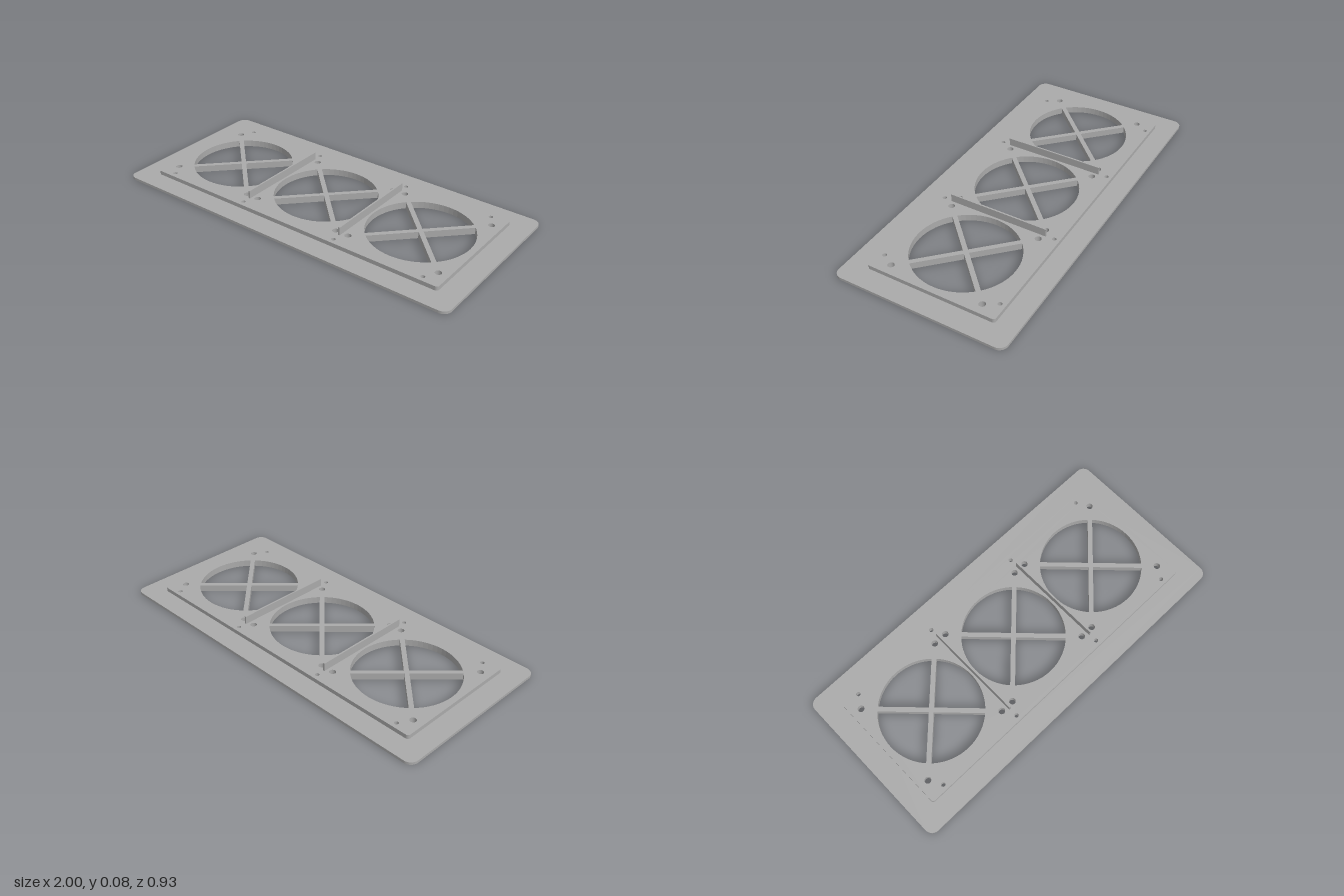
import * as THREE from 'three';

const PITCH = 0.578;      // spacing of the three openings
const FAN_RADIUS = 0.273;
const BASE_TOP = 0.014, PLATE_TOP = 0.036, FIN_TOP = 0.079;

function roundedRect(w, d, r) {
  const s = new THREE.Shape();
  const x = w / 2, y = d / 2;
  s.absarc(x - r, y - r, r, 0, Math.PI / 2);
  s.absarc(-x + r, y - r, r, Math.PI / 2, Math.PI);
  s.absarc(-x + r, -y + r, r, Math.PI, Math.PI * 1.5);
  s.absarc(x - r, -y + r, r, Math.PI * 1.5, Math.PI * 2);
  s.closePath();
  return s;
}

function addHole(shape, x, y, r) {
  shape.holes.push(new THREE.Path().absarc(x, y, r, 0, Math.PI * 2, true));
}

// Openings, fan screw holes and mounting holes shared by both layers
function punch(shape) {
  for (const i of [-1, 0, 1]) {
    addHole(shape, i * PITCH, 0, FAN_RADIUS);
    for (const sx of [-1, 1]) for (const sy of [-1, 1]) {
      addHole(shape, i * PITCH + sx * 0.252, sy * 0.252, 0.017);
    }
  }
  for (const x of [-0.79, -0.289, 0.289, 0.79]) {
    for (const sy of [-1, 1]) addHole(shape, x, sy * 0.32, 0.011);
  }
  return shape;
}

// Extrude a ground-plane outline upward from y0 to y1
function slab(shape, y0, y1) {
  const g = new THREE.ExtrudeGeometry(shape, { depth: y1 - y0, bevelEnabled: false, curveSegments: 32 });
  g.rotateX(-Math.PI / 2);
  g.translate(0, y0, 0);
  return g;
}

function crossShape(length, width) {
  const l = length / 2, w = width / 2;
  const pts = [[l, -w], [l, w], [w, w], [w, l], [-w, l], [-w, w],
    [-l, w], [-l, -w], [-w, -w], [-w, -l], [w, -l], [w, -w]];
  return new THREE.Shape(pts.map(([x, y]) => new THREE.Vector2(x, y)));
}

export function createModel() {
  const group = new THREE.Group();
  group.name = 'fanMountPanel';
  const grey = new THREE.MeshStandardMaterial({ color: 0xaaaaaa });
  grey.name = 'grey';
  const add = (name, geometry) => {
    const m = new THREE.Mesh(geometry, grey);
    m.name = name;
    group.add(m);
    return m;
  };

  // Two stacked plates
  add('basePlate', slab(punch(roundedRect(2, 0.926, 0.045)), 0, BASE_TOP));
  add('raisedPlate', slab(punch(roundedRect(1.77, 0.7, 0.015)), BASE_TOP, PLATE_TOP));

  // Diagonal braces across each opening
  const brace = slab(crossShape(FAN_RADIUS * 2 + 0.002, 0.025), 0, PLATE_TOP);
  brace.rotateY(Math.PI / 4);
  for (const i of [-1, 0, 1]) add('crossBrace', brace).position.x = i * PITCH;

  // Thin upright dividers between the openings
  const fin = new THREE.BoxGeometry(0.009, FIN_TOP - PLATE_TOP, 0.55);
  for (const s of [-1, 1]) {
    add('dividerFin', fin).position.set(s * PITCH / 2, (FIN_TOP + PLATE_TOP) / 2, 0);
  }
  return group;
}
